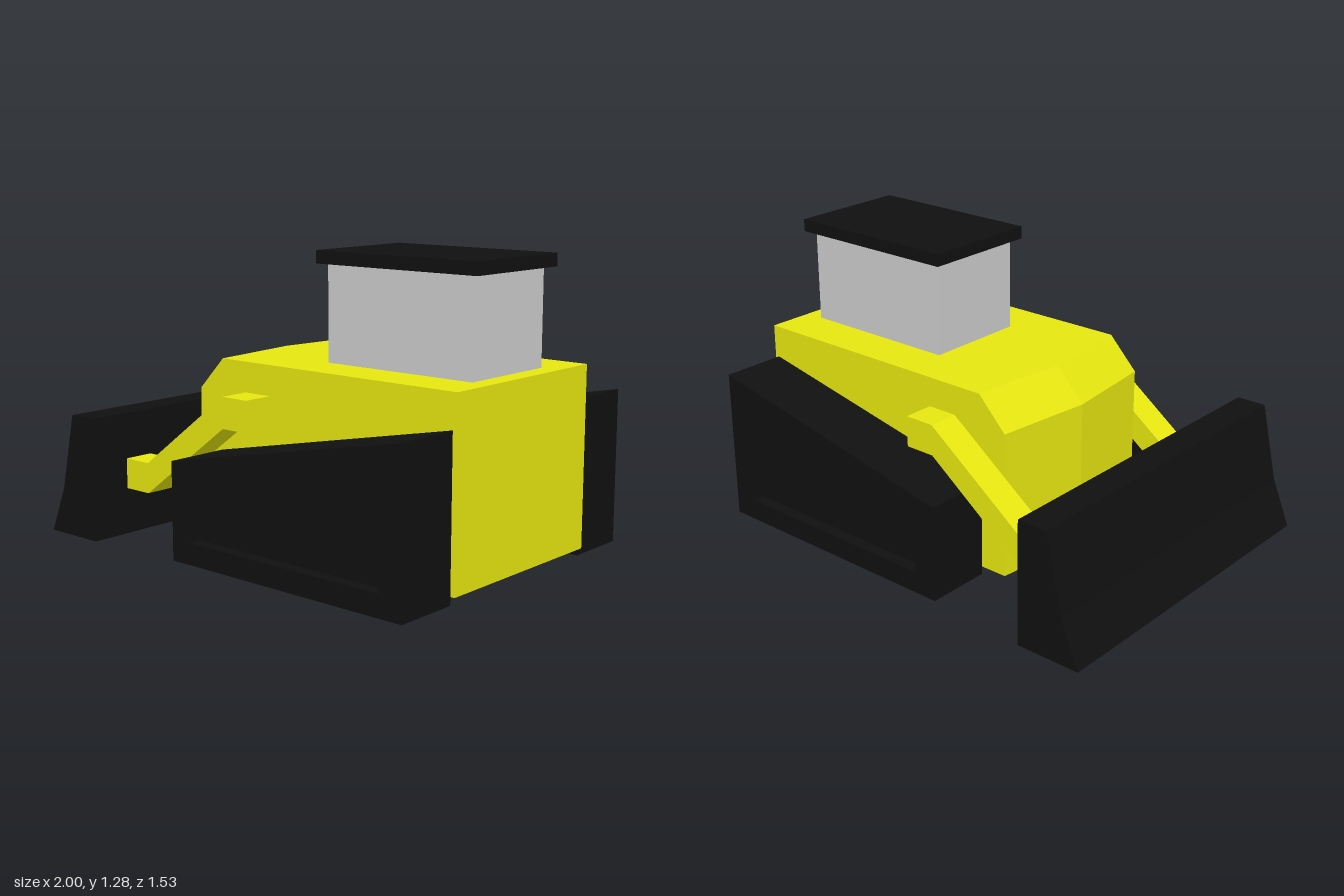
import * as THREE from 'three';

const yellow = new THREE.MeshStandardMaterial({ color: 0xe6e610, flatShading: true });
const black = new THREE.MeshStandardMaterial({ color: 0x101010, flatShading: true });
const grey = new THREE.MeshStandardMaterial({ color: 0xcccccc, flatShading: true });

const points = (list) => list.map(([x, y]) => new THREE.Vector2(x, y));

// Side profile (x, y) extruded from z0 to z1, with an optional hole
function slab(name, material, profile, z0, z1, { hole, steps = 1 } = {}) {
  const shape = new THREE.Shape(points(profile));
  if (hole) shape.holes.push(new THREE.Path(points(hole)));
  const geometry = new THREE.ExtrudeGeometry(shape, { depth: z1 - z0, steps, bevelEnabled: false });
  geometry.translate(0, 0, z0);
  const mesh = new THREE.Mesh(geometry, material);
  mesh.name = name;
  return mesh;
}

function box(name, material, x0, x1, y0, y1, halfDepth) {
  const mesh = new THREE.Mesh(new THREE.BoxGeometry(x1 - x0, y1 - y0, halfDepth * 2), material);
  mesh.position.set((x0 + x1) / 2, (y0 + y1) / 2, 0);
  mesh.name = name;
  return mesh;
}

export function createModel() {
  const model = new THREE.Group();
  model.name = 'bulldozer';
  const halfBody = 0.443;

  // Body: sloped bonnet, with the nose pushed forward along the centre line
  const body = slab('body', yellow,
    [[-0.365, 0.035], [1, 0.035], [1, 0.82], [-0.23, 0.82], [-0.365, 0.68]],
    -halfBody, halfBody, { steps: 2 });
  const pos = body.geometry.attributes.position;
  for (let i = 0; i < pos.count; i++) {
    if (pos.getX(i) < 0) {
      pos.setX(i, pos.getX(i) - 0.05 * (1 - Math.abs(pos.getZ(i)) / halfBody));
    }
  }
  body.geometry.computeVertexNormals();
  model.add(body);

  // Cab and overhanging roof
  model.add(box('cab', grey, 0.18, 0.915, 0.82, 1.23, 0.235));
  model.add(box('roof', black, 0.145, 0.955, 1.23, 1.285, 0.27));

  // Blade
  model.add(slab('blade', black,
    [[-1, 0], [-0.705, 0], [-0.705, 0.545], [-0.84, 0.545], [-0.915, 0.205]], -0.767, 0.767));

  // Tracks with a recessed outer panel, and the lift arms
  const trackProfile = [[-0.24, 0], [0.98, 0], [0.98, 0.675], [-0.24, 0.425]];
  const panelProfile = [[-0.135, 0.095], [0.87, 0.095], [0.87, 0.55], [-0.135, 0.345]];
  const armProfile = [[-0.72, 0.205], [-0.565, 0.205], [-0.095, 0.555], [0.042, 0.555],
    [0.042, 0.69], [-0.095, 0.69], [-0.565, 0.34], [-0.72, 0.34]];
  for (const [label, side] of [['left', 1], ['right', -1]]) {
    const add = (part, material, profile, inner, outer, options) => {
      const [z0, z1] = side > 0 ? [inner, outer] : [-outer, -inner];
      model.add(slab(`${part} ${label}`, material, profile, z0, z1, options));
    };
    add('track', black, trackProfile, halfBody, 0.68);
    add('track frame', black, trackProfile, 0.68, 0.735, { hole: panelProfile });
    add('lift arm', yellow, armProfile, halfBody, 0.58);
  }
  return model;
}
